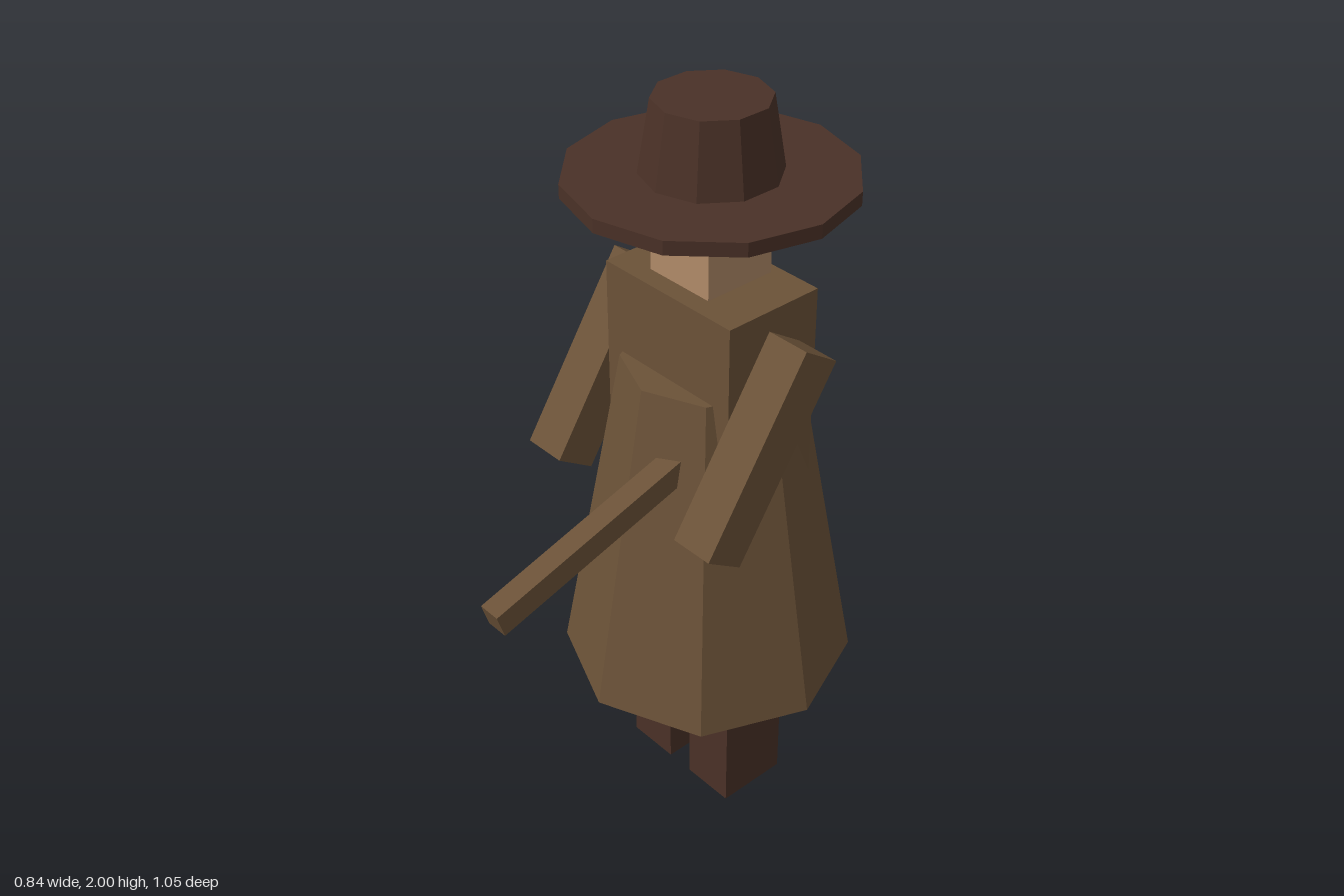
import * as THREE from 'three';

const material = (name, color) => {
  const m = new THREE.MeshStandardMaterial({ color, flatShading: true });
  m.name = name;
  return m;
};

export function createModel() {
  const coat = material('coat brown', 0x6b5238);
  const dark = material('dark leather', 0x4a3127);
  const skin = material('skin', 0xb08a68);

  const figure = new THREE.Group();
  figure.name = 'figure';

  const add = (name, geometry, mat, x, y, z, tilt = 0) => {
    const mesh = new THREE.Mesh(geometry, mat);
    mesh.name = name;
    mesh.position.set(x, y, z);
    mesh.rotation.x = tilt;
    figure.add(mesh);
    return mesh;
  };
  const box = (w, h, d) => new THREE.BoxGeometry(w, h, d);
  const frustum = (top, bottom, h, sides) => new THREE.CylinderGeometry(top, bottom, h, sides);

  // Legs and arms, mirrored
  for (const [side, s] of [['left', 1], ['right', -1]]) {
    add(side + 'Leg', box(0.15, 0.44, 0.2), dark, s * 0.115, 0.22, 0);
    add(side + 'Arm', box(0.12, 0.54, 0.12), coat, s * 0.275, 1.2375, 0.112, -0.58);
  }

  // Torso and flared coat skirt
  add('torso', box(0.43, 0.65, 0.28), coat, 0, 1.225, 0);
  add('coatSkirt', frustum(0.22, 0.385, 0.905, 8), coat, 0, 0.8675, 0);

  // Head and hat
  add('head', box(0.2, 0.215, 0.2), skin, 0, 1.6675, 0);
  add('hatBrim', frustum(0.35, 0.35, 0.035, 12), dark, 0, 1.8025, 0);
  add('hatCrown', frustum(0.14, 0.17, 0.18, 10), dark, 0, 1.91, 0);

  // Rod held out in front, sloping down
  const length = 0.62, slope = 0.29;
  add('heldRod', box(0.06, 0.065, length), coat, 0.087,
    0.967 + Math.sin(slope) * length / 2, 0.752 - Math.cos(slope) * length / 2, slope);

  // The figure stands turned to one side
  figure.rotation.y = -0.67;
  figure.position.set(0.035, 0, -0.145);

  const model = new THREE.Group();
  model.name = 'coatedFigure';
  model.add(figure);
  return model;
}
